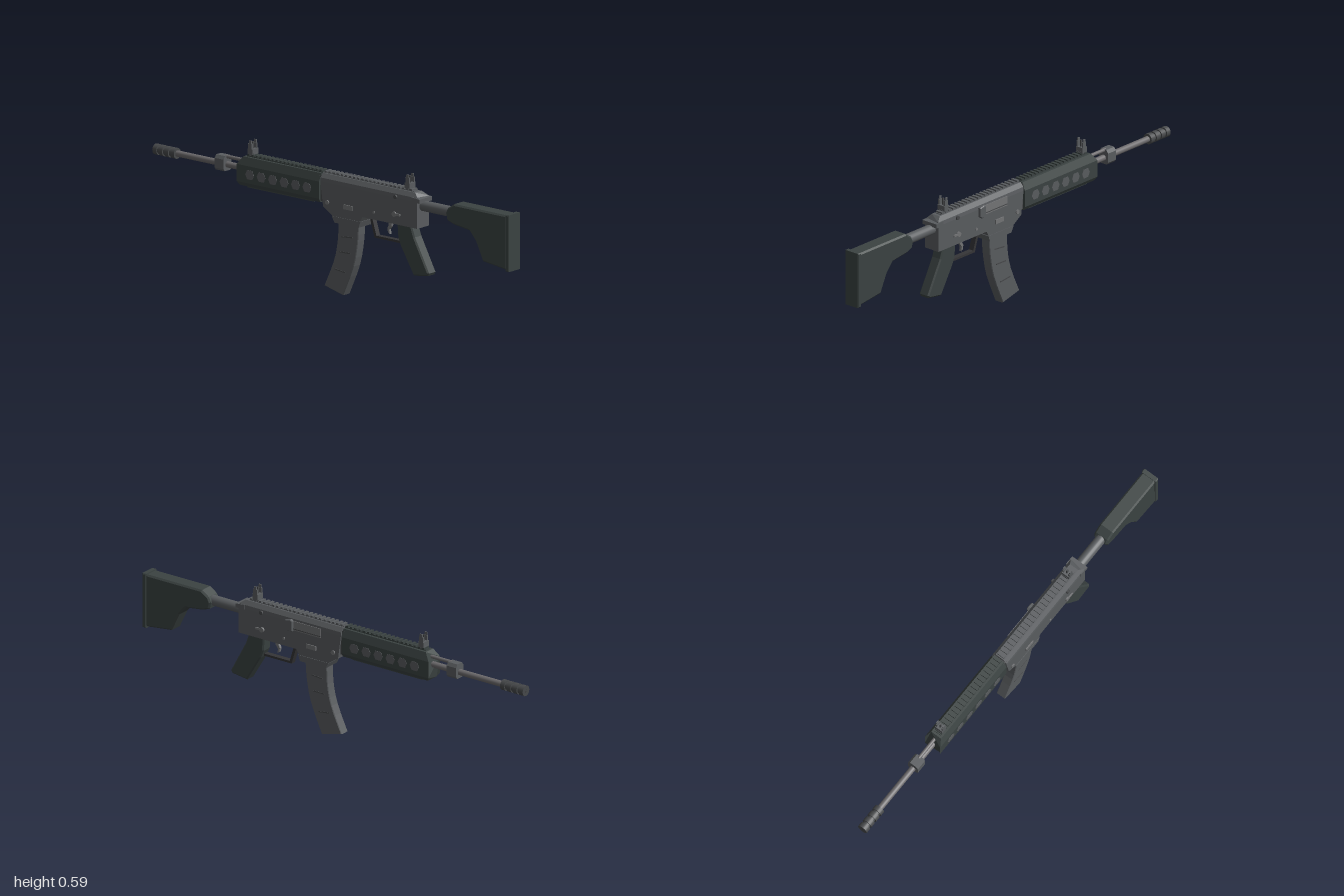
import * as THREE from 'three';

const mat = (name, color) => {
  const m = new THREE.MeshStandardMaterial({ color });
  m.name = name;
  return m;
};

export function createModel() {
  const polymer = mat('dark green polymer', 0x3b4342);
  const steel = mat('receiver grey', 0x5a5d60);
  const barrelGrey = mat('barrel grey', 0x6c6a6c);
  const light = mat('light grey', 0x747577);
  const dark = mat('dark steel', 0x47494b);
  const black = mat('black steel', 0x353537);

  const root = new THREE.Group();
  root.name = 'rifle';
  const g = new THREE.Group();
  g.name = 'body';
  g.position.x = -0.0035;
  root.add(g);

  const add = (name, geo, m, parent = g) => {
    const mesh = new THREE.Mesh(geo, m);
    mesh.name = name;
    parent.add(mesh);
    return mesh;
  };
  const box = (name, m, x, y, z, w, h, d, parent) =>
    add(name, new THREE.BoxGeometry(w, h, d).translate(x, y, z), m, parent);
  // cylinder along z from z0 to z1
  const rod = (name, m, y, z0, z1, r, r2 = r, parent = g) =>
    add(name, new THREE.CylinderGeometry(r, r2, Math.abs(z1 - z0), 20)
      .rotateX(Math.PI / 2).translate(0, y, (z0 + z1) / 2), m, parent);
  const extrude = (pts, depth, bevel) => {
    const shape = new THREE.Shape(pts.map(p => new THREE.Vector2(p[0], p[1])));
    return new THREE.ExtrudeGeometry(shape, {
      depth: depth - 2 * bevel, steps: 1, bevelEnabled: bevel > 0,
      bevelSize: bevel, bevelThickness: bevel, bevelOffset: -bevel, bevelSegments: 1,
    }).translate(0, 0, bevel);
  };
  // side profile given as [z, y], extruded across the width w
  const side = (name, m, pts, w, bevel = 0) =>
    add(name, extrude(pts, w, bevel).translate(0, 0, -w / 2).rotateY(-Math.PI / 2), m);
  // cross-section given as [x, y], extruded from z0 to z1
  const section = (pts, z0, z1) => extrude(pts, z1 - z0, 0).translate(0, 0, z0);
  // disc lying on one side of the body
  const pin = (name, m, s, x, y, z, r, t) =>
    add(name, new THREE.CylinderGeometry(r, r, t, 16).rotateZ(Math.PI / 2).translate(s * x, y, z), m);

  // Stock
  side('stock', polymer, [[0.985, 0.272], [0.985, 0.511], [0.69, 0.511], [0.655, 0.488],
    [0.643, 0.465], [0.65, 0.435], [0.685, 0.422], [0.775, 0.41], [0.81, 0.37], [0.85, 0.288]], 0.07, 0.007);
  side('buttPlate', polymer, [[0.98, 0.267], [0.98, 0.515], [1, 0.515], [1, 0.267]], 0.077, 0.004);
  rod('stockTube', steel, 0.465, 0.48, 0.66, 0.023);

  // Receiver with chamfered top
  side('receiver', steel, [[0.49, 0.37], [0.49, 0.487], [-0.05, 0.487], [-0.035, 0.38], [-0.03, 0.378],
    [0.02, 0.345], [0.17, 0.345], [0.185, 0.37]], 0.076);
  const top = section([[-0.038, 0.487], [0.038, 0.487], [0.036, 0.503], [0.022, 0.521],
    [-0.022, 0.521], [-0.036, 0.503]], -0.05, 0.49);
  const tp = top.attributes.position;
  for (let i = 0; i < tp.count; i++) // slope the rear end of the cover
    if (tp.getZ(i) > 0.48 && tp.getY(i) > 0.51) tp.setZ(i, 0.465);
  top.computeVertexNormals();
  add('receiverCover', top, steel);
  side('rearLip', steel, [[0.505, 0.482], [0.505, 0.5], [0.46, 0.504], [0.46, 0.482]], 0.08);
  side('magazineWell', steel, [[0.165, 0.32], [0.175, 0.347], [0.015, 0.347], [0.03, 0.32]], 0.08);
  box('handguardJoint', dark, 0, 0.455, -0.052, 0.062, 0.11, 0.02);

  // Receiver details
  box('ejectionPort', light, 0.0385, 0.473, 0.13, 0.003, 0.042, 0.15);
  box('boltSeam', dark, 0.0395, 0.459, 0.13, 0.003, 0.004, 0.15);
  side('chargingHandle', steel, [[0.2, 0.45], [0.2, 0.495], [0.21, 0.501], [0.237, 0.495],
    [0.237, 0.455], [0.225, 0.445]], 0.018, 0.003).position.x = 0.0415;
  for (const s of [1, -1]) {
    box('magazineCatch', light, s * 0.039, 0.398, 0.105, 0.006, 0.02, 0.05);
    pin('frontPin', light, s, 0.039, 0.402, -0.01, 0.01, 0.008);
    pin('rearPin', light, s, 0.039, 0.402, 0.25, 0.006, 0.006);
    pin('selectorHub', light, s, 0.041, 0.414, 0.365, 0.011, 0.01);
    box('selectorLever', light, s * 0.043, 0.415, 0.38, 0.005, 0.009, 0.036);
    pin('coverPin', dark, s, 0.0405, 0.49, 0.37, 0.009, 0.007);
  }

  // Pistol grip, trigger and guard
  side('pistolGrip', polymer, [[0.365, 0.375], [0.445, 0.375], [0.463, 0.325], [0.542, 0.18],
    [0.536, 0.168], [0.457, 0.157], [0.385, 0.275], [0.37, 0.31]], 0.053, 0.006);
  side('triggerGuard', black, [[0.375, 0.283], [0.375, 0.293], [0.24, 0.293], [0.215, 0.372],
    [0.202, 0.372], [0.23, 0.283]], 0.024);
  side('trigger', light, [[0.322, 0.372], [0.318, 0.345], [0.306, 0.33], [0.31, 0.31],
    [0.3, 0.316], [0.296, 0.335], [0.304, 0.35], [0.304, 0.372]], 0.012);

  // Curved magazine with side ribs
  const back = new THREE.SplineCurve([[0.15, 0.33], [0.145, 0.25], [0.122, 0.14], [0.063, 0.004]]
    .map(p => new THREE.Vector2(...p)));
  const front = new THREE.SplineCurve([[0.036, 0.33], [0.032, 0.24], [0.011, 0.147], [-0.042, 0.03]]
    .map(p => new THREE.Vector2(...p)));
  const edge = c => c.getPoints(9).map(p => [p.x, p.y]);
  side('magazine', steel, [...edge(back), ...edge(front).reverse()], 0.046, 0.003);
  for (const t of [0.28, 0.52, 0.76]) {
    const a = back.getPoint(t), b = front.getPoint(t);
    const p = a.clone().lerp(b, 0.25), q = a.clone().lerp(b, 0.8);
    side('magazineRib', dark, [[p.x, p.y], [q.x, q.y], [q.x, q.y + 0.005], [p.x, p.y + 0.005]], 0.05);
  }

  // Handguard with chamfered edges and a sloped nose
  const hg = section([[-0.03, 0.393], [0.03, 0.393], [0.041, 0.41], [0.041, 0.485],
    [0.026, 0.519], [-0.026, 0.519], [-0.041, 0.485], [-0.041, 0.41]], -0.515, -0.055);
  const hp = hg.attributes.position;
  for (let i = 0; i < hp.count; i++)
    if (hp.getZ(i) < -0.5) {
      if (hp.getY(i) > 0.5) hp.setZ(i, -0.49);
      else if (hp.getY(i) < 0.4) hp.setZ(i, -0.505);
    }
  hg.computeVertexNormals();
  add('handguard', hg, polymer);
  box('handguardKeel', polymer, 0, 0.392, -0.285, 0.044, 0.012, 0.37);
  for (let i = 0; i < 6; i++) {
    const z = -0.122 - i * 0.0638;
    for (const s of [1, -1]) {
      const hex = [[-0.024, 0], [-0.014, 0.02], [0.014, 0.02], [0.024, 0], [0.014, -0.02], [-0.014, -0.02]]
        .map(p => [p[0] + z, p[1] + 0.448]);
      side('handguardVent', steel, hex, 0.004).position.x = s * 0.0405;
    }
  }

  // Top rail
  const rail = (name, m, z0, z1) => {
    box(name, m, 0, 0.52, (z0 + z1) / 2, 0.03, 0.008, z1 - z0);
    const n = Math.round((z1 - z0) / 0.0225);
    for (let i = 0; i < n; i++)
      box(name + 'Tooth', m, 0, 0.5265, z0 + (i + 0.5) * (z1 - z0) / n, 0.035, 0.009, 0.012);
  };
  rail('receiverRail', steel, -0.05, 0.45);
  rail('handguardRail', polymer, -0.48, -0.055);

  // Sights
  for (const [name, z] of [['rearSight', 0.418], ['frontSight', -0.459]]) {
    const s = new THREE.Group();
    s.name = name;
    g.add(s);
    box('sightFoot', steel, 0, 0.53, z, 0.028, 0.012, 0.03, s);
    box('sightBase', steel, 0, 0.543, z, 0.038, 0.024, 0.028, s);
    for (const k of [-1, 1]) {
      box('sightEar', steel, k * 0.0155, 0.566, z, 0.007, 0.024, 0.02, s);
      box('sightEarTip', steel, k * 0.0165, 0.584, z, 0.005, 0.014, 0.013, s);
    }
    box('sightPost', dark, 0, 0.568, z, 0.005, 0.034, 0.008, s);
  }

  // Barrel, gas tube, gas block
  rod('barrel', barrelGrey, 0.46, -0.9, -0.5, 0.0135);
  rod('gasTube', barrelGrey, 0.494, -0.61, -0.48, 0.008);
  add('gasBlock', section([[-0.018, 0.433], [0.018, 0.433], [0.026, 0.443], [0.026, 0.485],
    [0.016, 0.499], [-0.016, 0.499], [-0.026, 0.485], [-0.026, 0.443]], -0.65, -0.6), steel);

  // Muzzle brake
  rod('muzzleCore', dark, 0.46, -0.998, -0.88, 0.018);
  for (let i = 0; i < 4; i++) {
    const z = -0.88 - i * 0.0325;
    rod('muzzleRing', dark, 0.46, z - 0.0225, z, 0.0235);
  }
  rod('muzzleBore', black, 0.46, -1, -0.99, 0.009);

  return root;
}
